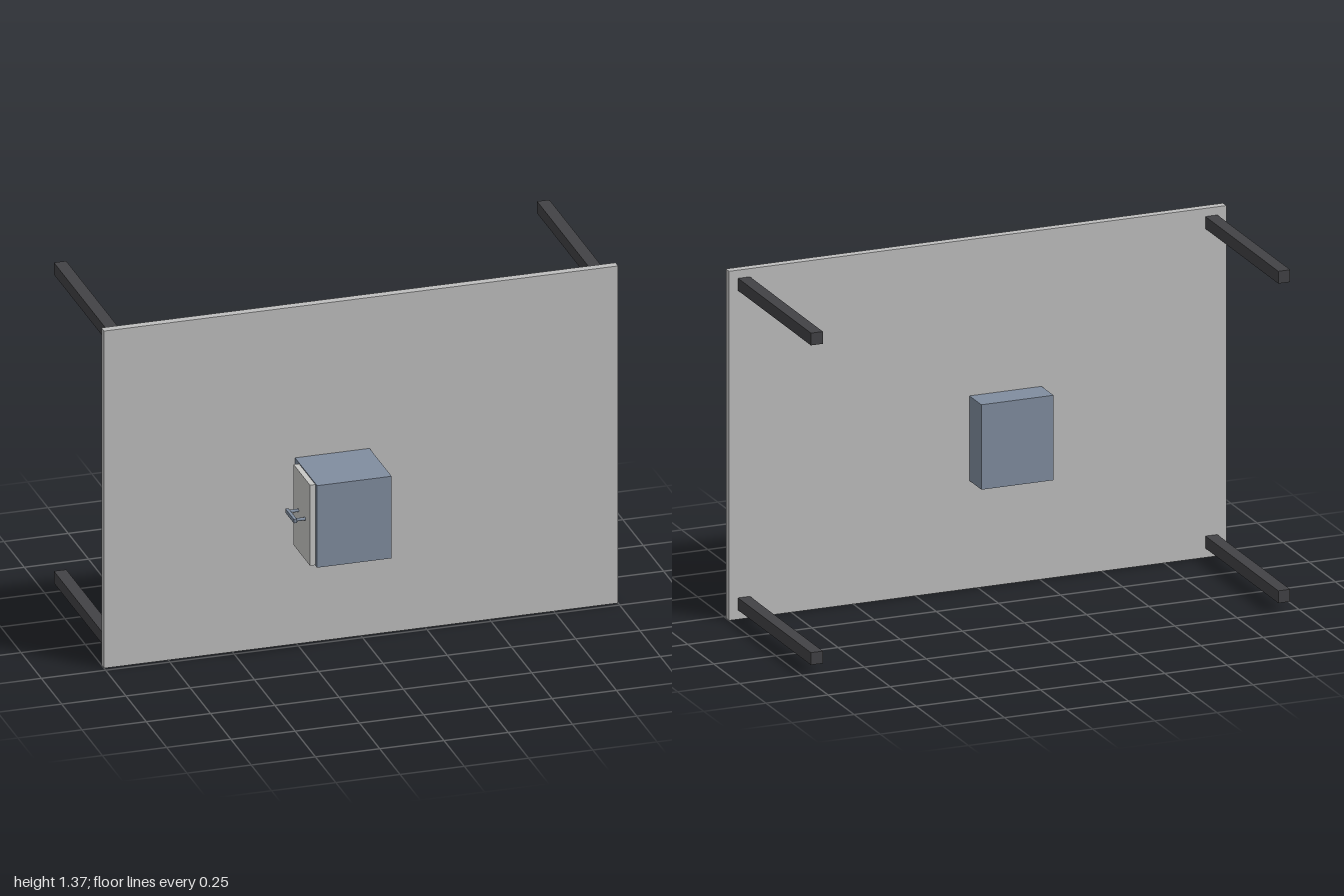
import * as THREE from 'three';

export function createModel() {
  const model = new THREE.Group();
  const material = (name, color) => {
    const m = new THREE.MeshStandardMaterial({ color });
    m.name = name;
    return m;
  };
  const panelGrey = material('panel grey', 0xbfbfbf);
  const legCharcoal = material('leg charcoal', 0x424245);
  const cabinetBlue = material('cabinet blue', 0x808d9f);
  const doorGrey = material('door pale grey', 0xc8c8c6);

  // Box given by its lower and upper limits on each axis
  const box = (name, mat, [x0, x1], [y0, y1], [z0, z1], parent = model) => {
    const mesh = new THREE.Mesh(new THREE.BoxGeometry(x1 - x0, y1 - y0, z1 - z0), mat);
    mesh.position.set((x0 + x1) / 2, (y0 + y1) / 2, (z0 + z1) / 2);
    mesh.name = name;
    parent.add(mesh);
    return mesh;
  };

  // Upright table top
  box('tableTop', panelGrey, [-1, 1], [0, 1.365], [0.199, 0.231]);

  // Four legs pointing backwards
  for (const x of [-0.94, 0.94]) {
    for (const y of [0.06, 1.309]) {
      box('leg', legCharcoal, [x - 0.024, x + 0.024], [y - 0.024, y + 0.024], [-0.5, 0.199]);
    }
  }

  // Cabinet passing through the table top
  box('cabinet', cabinetBlue, [-0.257, 0.033], [0.422, 0.754], [0.085, 0.502]);

  // Door on the cabinet's right side
  box('door', doorGrey, [-0.278, -0.257], [0.424, 0.75], [0.279, 0.481]);

  // Door handle: a grip on two round posts
  const handle = new THREE.Group();
  handle.name = 'handle';
  model.add(handle);
  box('handleGrip', cabinetBlue, [-0.325, -0.313], [0.581, 0.597], [0.327, 0.431], handle);
  for (const z of [0.338, 0.42]) {
    const post = new THREE.Mesh(new THREE.CylinderGeometry(0.006, 0.006, 0.036, 16), cabinetBlue);
    post.rotation.z = Math.PI / 2;
    post.position.set(-0.296, 0.589, z);
    post.name = 'handlePost';
    handle.add(post);
  }

  return model;
}
